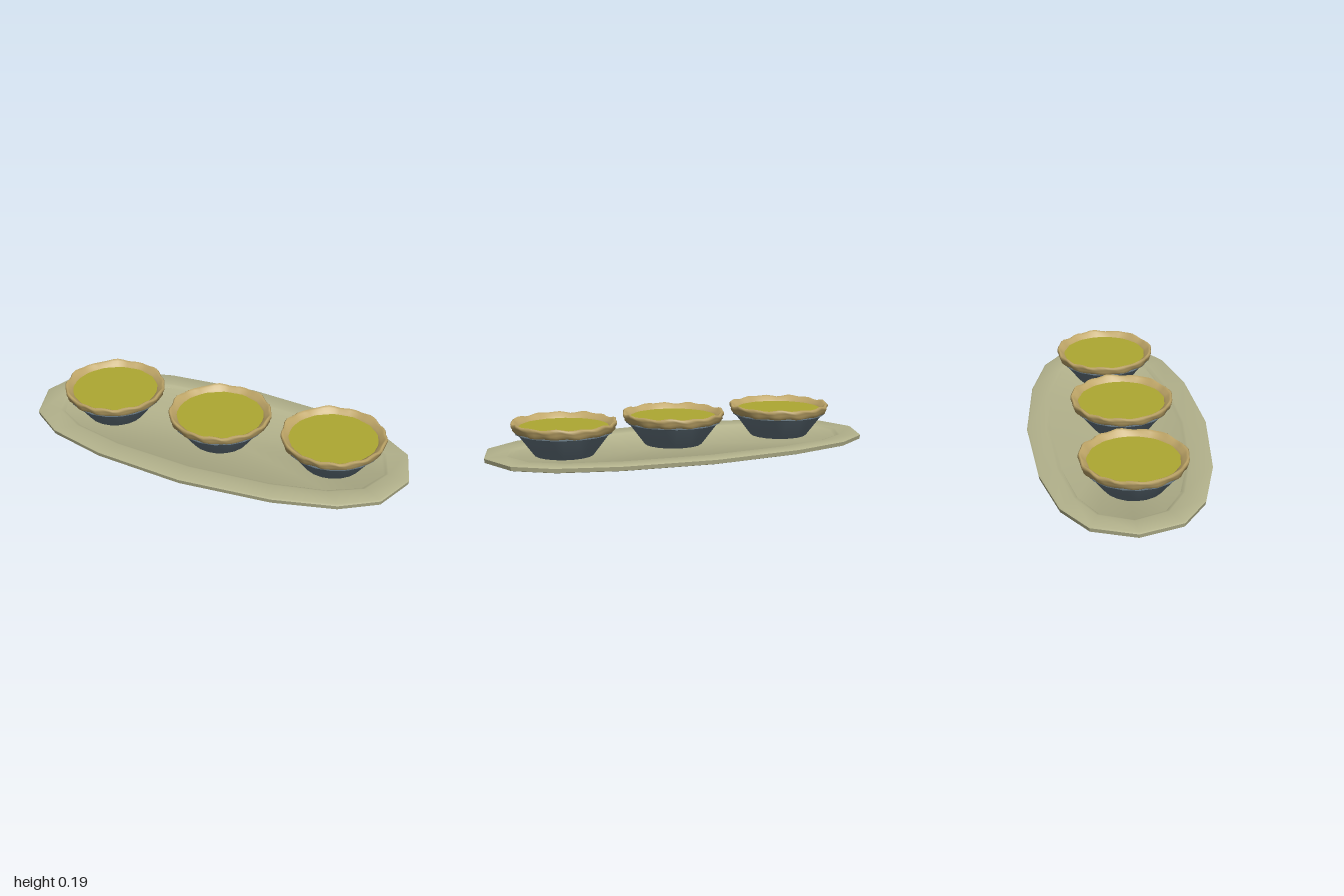
import * as THREE from 'three';
import { mergeVertices, toCreasedNormals } from 'three/addons/utils/BufferGeometryUtils.js';

const material = (color) => new THREE.MeshStandardMaterial({ color });
const vecs = (list) => list.map(([x, y]) => new THREE.Vector2(x, y));

function addMesh(parent, name, geometry, mat) {
  const mesh = new THREE.Mesh(geometry, mat);
  mesh.name = name;
  parent.add(mesh);
  return mesh;
}

// Joins the lathe seam and gives smooth normals
function smooth(geometry) {
  geometry.deleteAttribute('uv');
  geometry.deleteAttribute('normal');
  const merged = mergeVertices(geometry, 1e-5);
  merged.computeVertexNormals();
  return merged;
}

// Long faceted platter: a 16-sided lathe whose rings follow a quarter outline
function platterGeometry() {
  const quarter = [[0, 0.453], [0.46, 0.412], [0.76, 0.33], [0.93, 0.21], [1, 0]];
  const profile = [[1, 0.002], [0.025, 0.0], [0.004, 0.006], [0, 0.026], [0.01, 0.031],
    [0.105, 0.03], [0.117, 0.027], [0.13, 0.019], [1, 0.018]]; // inset from edge, height
  const n = profile.length;
  const geometry = new THREE.LatheGeometry(vecs(profile), 16);
  const pos = geometry.attributes.position;
  for (let i = 0; i <= 16; i++) {
    const k = i % 16;
    const fold = k % 8 <= 4 ? k % 8 : 8 - (k % 8);
    const [ox, oz] = quarter[fold];
    const sx = k < 8 ? 1 : -1;
    const sz = k <= 4 || k >= 12 ? 1 : -1;
    profile.forEach(([inset, y], j) => {
      const shift = inset > 0.1 && inset < 1 ? -0.008 : 0;
      const z = sz * oz * Math.max(0, 1 - inset / 0.453) + shift;
      pos.setXYZ(i * n + j, sx * ox * (1 - inset), y, z);
    });
  }
  return toCreasedNormals(smooth(geometry), 0.6);
}

// Tapered tin with a thin lip
function tinGeometry() {
  const profile = [[0, 0.016], [0.142, 0.016], [0.146, 0.02], [0.226, 0.126],
    [0.238, 0.129], [0.238, 0.134], [0.222, 0.134]];
  return toCreasedNormals(smooth(new THREE.LatheGeometry(vecs(profile), 20)), 0.6);
}

// Uneven crimped crust: a closed ring pushed around by waves
function crustGeometry() {
  const profile = [[0.205, 0.132], [0.234, 0.133], [0.247, 0.143], [0.245, 0.152], [0.254, 0.164],
    [0.254, 0.176], [0.248, 0.181], [0.238, 0.175], [0.224, 0.162], [0.208, 0.148], [0.205, 0.132]];
  const geometry = new THREE.LatheGeometry(vecs(profile), 56);
  const pos = geometry.attributes.position;
  for (let i = 0; i < pos.count; i++) {
    const x = pos.getX(i), y = pos.getY(i), z = pos.getZ(i);
    const a = Math.atan2(x, z);
    const r = Math.hypot(x, z);
    const edge = THREE.MathUtils.clamp((r - 0.205) / 0.04, 0.3, 1);
    const crimp = Math.sin(15 * a + 0.7 * Math.sin(3 * a));
    const drift = Math.sin(7 * a + 1.3);
    const s = 1 + edge * (0.012 * crimp + 0.008 * drift) / r * 0.25;
    const lift = edge * (0.0035 * Math.sin(13 * a + 60 * y) + 0.0025 * drift);
    pos.setXYZ(i, x * s, y + lift, z * s);
  }
  return smooth(geometry);
}

// Flat filling with a gently rippled edge
function fillingGeometry() {
  const geometry = new THREE.CircleGeometry(0.217, 56);
  geometry.rotateX(-Math.PI / 2);
  const pos = geometry.attributes.position;
  for (let i = 1; i < pos.count; i++) {
    const x = pos.getX(i), z = pos.getZ(i);
    const s = 1 + 0.012 * Math.sin(15 * Math.atan2(x, z));
    pos.setXYZ(i, x * s, 0, z * s);
  }
  return geometry;
}

export function createModel() {
  const model = new THREE.Group();
  model.name = 'pieTray';
  addMesh(model, 'platter', platterGeometry(), material(0xb3b28c));

  const tin = tinGeometry(), crust = crustGeometry(), filling = fillingGeometry();
  const tinMat = material(0x6a7b86), crustMat = material(0xbfa668), fillingMat = material(0xaea832);

  // Three identical pies along the platter
  [[-0.573, 0.022], [0.023, 0.025], [0.608, -0.01]].forEach(([x, z], i) => {
    const pie = new THREE.Group();
    pie.name = `pie${i + 1}`;
    pie.position.set(x, 0, z);
    addMesh(pie, 'tin', tin, tinMat);
    addMesh(pie, 'crust', crust, crustMat);
    addMesh(pie, 'filling', filling, fillingMat).position.y = 0.155;
    model.add(pie);
  });
  return model;
}
